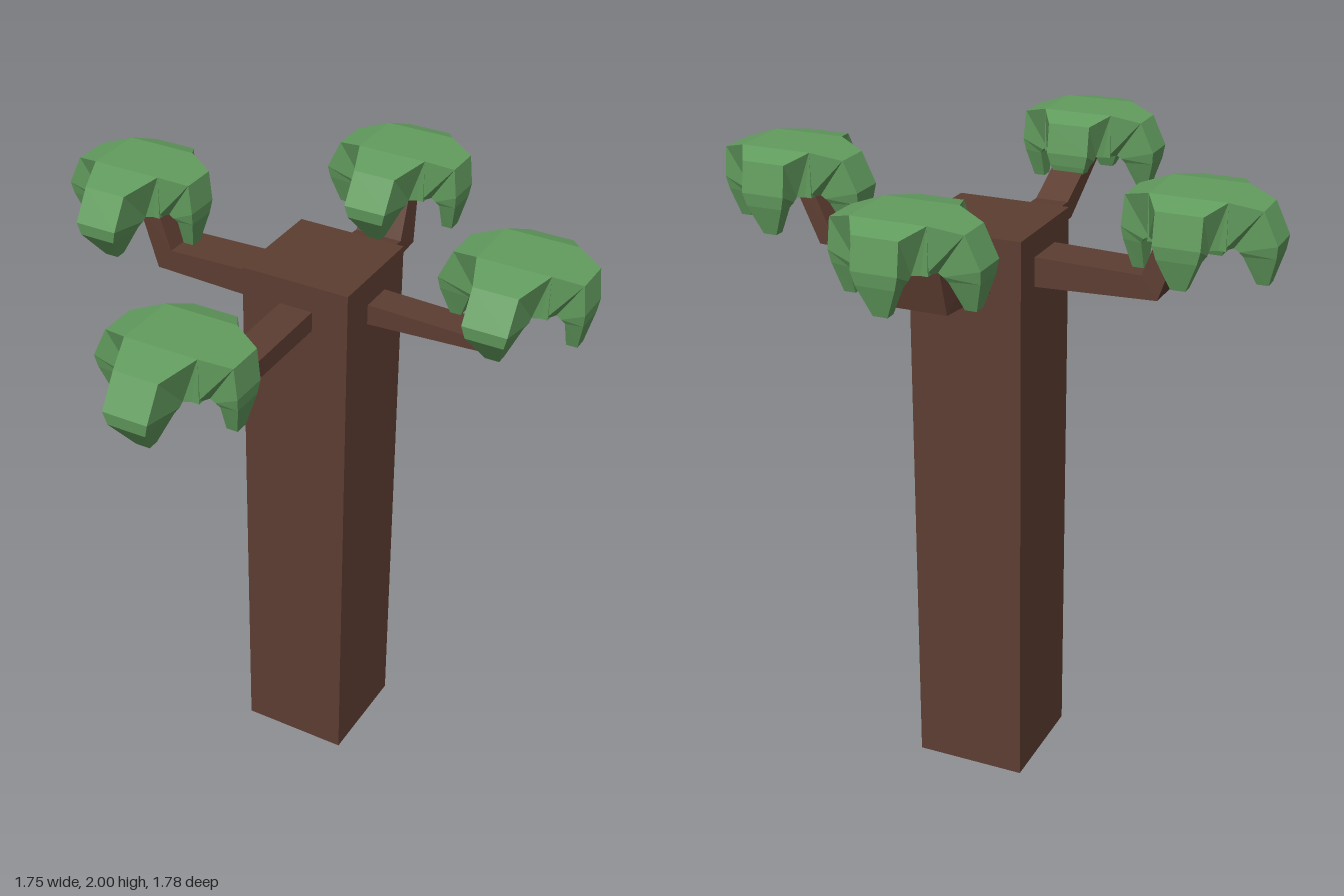
import * as THREE from 'three';

const bark = new THREE.MeshStandardMaterial({ color: 0x5c3d31, flatShading: true });
const leaf = new THREE.MeshStandardMaterial({ color: 0x629c5e, flatShading: true });

// Solid through four-cornered sections running outwards along +z, turned about y.
// Section: [top reach, top y, bottom reach, bottom y, half width]
function loft(name, sections, angle, material) {
  const pos = [], index = [];
  for (const [rt, yt, rb, yb, w] of sections) {
    pos.push(-w, yt, rt, w, yt, rt, w, yb, rb, -w, yb, rb);
  }
  for (let s = 0; s < sections.length - 1; s++) {
    for (let k = 0; k < 4; k++) {
      const a = s * 4 + k, b = s * 4 + (k + 1) % 4;
      index.push(a, a + 4, b + 4, a, b + 4, b);
    }
  }
  const e = (sections.length - 1) * 4;
  index.push(0, 1, 2, 0, 2, 3, e, e + 2, e + 1, e, e + 3, e + 2);
  let geo = new THREE.BufferGeometry();
  geo.setAttribute('position', new THREE.Float32BufferAttribute(pos, 3));
  geo.setIndex(index);
  geo = geo.toNonIndexed();
  geo.rotateY(angle);
  geo.computeVertexNormals();
  const mesh = new THREE.Mesh(geo, material);
  mesh.name = name;
  return mesh;
}

// Drooping lobe: leaves the crown, bends over and tapers to a blunt tip
function lobe(name, angle, root, rootWidth, shoulder, reach, tipOut, tipIn, width) {
  return loft(name, [
    [root - 0.02, 0, root - 0.04, -0.14, rootWidth],
    [root, 0, root - 0.01, -0.14, rootWidth],
    [shoulder, -0.025, root + 0.01, -0.14, width],
    [reach, -0.12, root + 0.025, -0.15, width],
    [reach - 0.005, -0.16, root + 0.035, -0.165, width * 0.85],
    [tipOut, -0.25, tipIn, -0.25, 0.022],
  ], angle, leaf);
}

// Leaf crown: flat block with four drooping lobes, top at y = 0
function crown(name, x, y, z) {
  const g = new THREE.Group();
  g.name = name;
  const core = new THREE.Mesh(new THREE.BoxGeometry(0.23, 0.14, 0.2), leaf);
  core.name = 'crownCore';
  core.position.y = -0.07;
  g.add(core,
    lobe('frontLobe', 0, 0.1, 0.115, 0.22, 0.28, 0.205, 0.17, 0.07),
    lobe('backLobe', Math.PI, 0.1, 0.115, 0.175, 0.19, 0.16, 0.125, 0.07),
    lobe('leftLobe', Math.PI / 2, 0.115, 0.1, 0.2, 0.21, 0.185, 0.15, 0.06),
    lobe('rightLobe', -Math.PI / 2, 0.115, 0.1, 0.205, 0.25, 0.22, 0.185, 0.06));
  g.position.set(x, y, z);
  return g;
}

export function createModel() {
  const tree = new THREE.Group();
  tree.name = 'tree';

  // Square trunk, leaning very slightly forwards
  const trunkGeo = new THREE.BoxGeometry(0.36, 1.83, 0.36).translate(0.02, 0.915, -0.19);
  const p = trunkGeo.attributes.position;
  for (let i = 0; i < p.count; i++) if (p.getY(i) > 1) p.setZ(i, p.getZ(i) + 0.01);
  trunkGeo.computeVertexNormals();
  const trunk = new THREE.Mesh(trunkGeo, bark);
  trunk.name = 'trunk';
  tree.add(trunk);

  // Bent branches: side offset [x, z], angle, sections
  const branches = [
    ['frontBranch', 0.025, 0, 0, [[-0.05, 1.745, -0.05, 1.68, 0.055],
      [0.31, 1.74, 0.34, 1.68, 0.055], [0.56, 1.87, 0.6, 1.84, 0.055]]],
    ['backBranch', 0.02, 0, Math.PI, [[0.3, 1.76, 0.3, 1.655, 0.08],
      [0.545, 1.735, 0.64, 1.69, 0.08], [0.62, 1.88, 0.68, 1.88, 0.07]]],
    ['leftBranch', 0, -0.185, Math.PI / 2, [[0.15, 1.74, 0.15, 1.67, 0.055],
      [0.53, 1.73, 0.57, 1.69, 0.055], [0.6, 1.88, 0.66, 1.88, 0.05]]],
    ['rightBranch', 0, -0.185, -Math.PI / 2, [[0.1, 1.755, 0.1, 1.66, 0.075],
      [0.49, 1.745, 0.54, 1.675, 0.075], [0.54, 1.88, 0.61, 1.88, 0.07]]],
  ];
  for (const [name, x, z, angle, sections] of branches) {
    const branch = loft(name, sections, angle, bark);
    branch.position.set(x, 0, z);
    tree.add(branch);
  }

  // One crown on each branch
  tree.add(
    crown('frontCrown', 0.02, 1.98, 0.61),
    crown('backCrown', 0.03, 2, -0.7),
    crown('leftCrown', 0.66, 2, -0.22),
    crown('rightCrown', -0.63, 2, -0.19));
  return tree;
}
